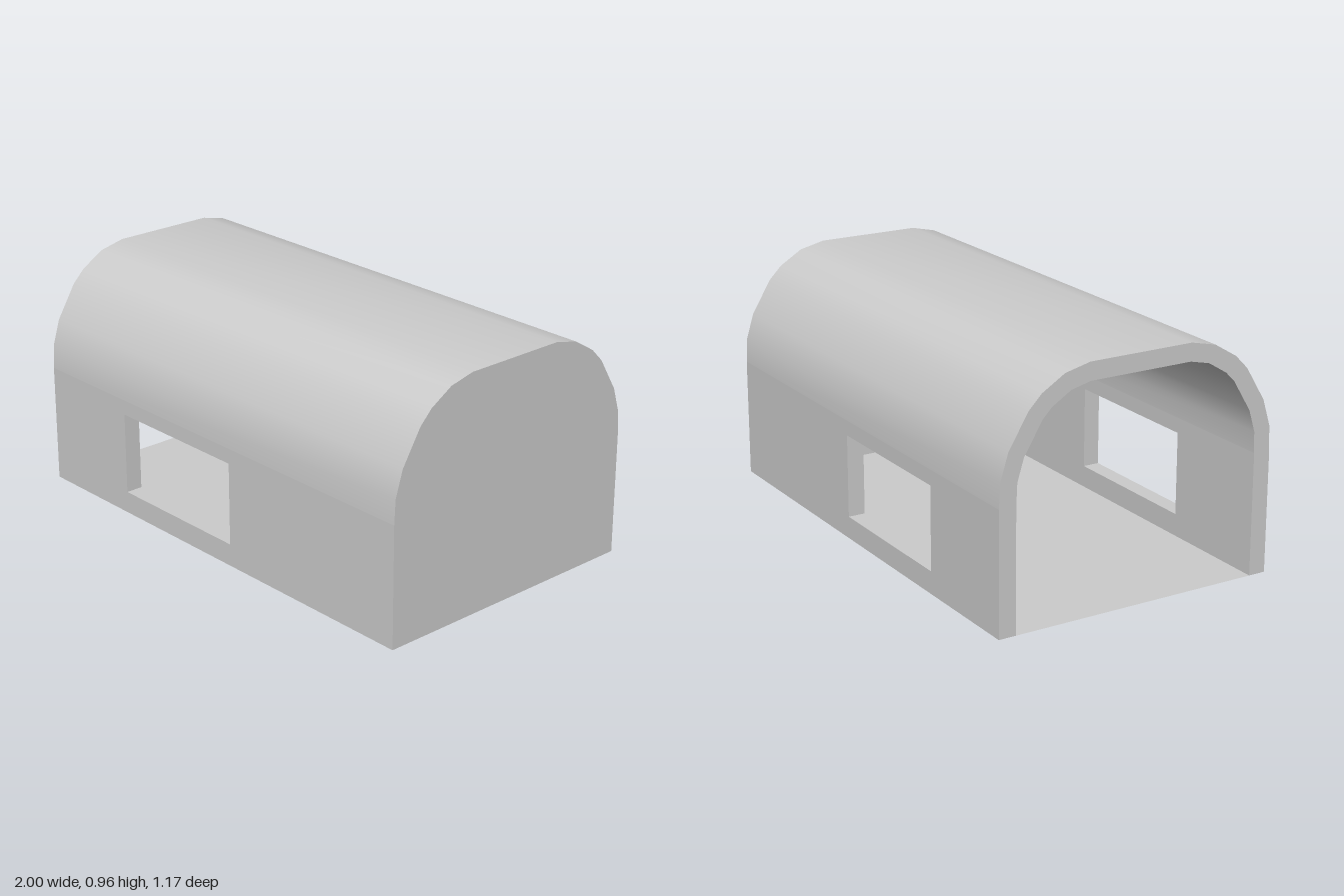
import * as THREE from 'three';
import { toCreasedNormals } from 'three/addons/utils/BufferGeometryUtils.js';

const material = new THREE.MeshStandardMaterial({ color: 0xcccccc, side: THREE.DoubleSide });
const T = 0.07; // wall thickness
const SPRING = 0.486; // height where the vault leaves the walls
const HALF = 0.585; // half depth
const WINDOW = { x0: -0.53, x1: 0.11, y0: 0.09, y1: 0.425 };

// Front half of the vault curve as [z, y], from the crown down to the wall
const CURVE = [
  [0.216, 0.956], [0.32, 0.932], [0.414, 0.875], [0.467, 0.821],
  [0.548, 0.687], [0.58, 0.583], [HALF, SPRING],
];

// Vault points from back to front, moved inward by d
function arch(d) {
  const half = CURVE.map(([z, y], i) => {
    const a = CURVE[i - 1] ?? [-z, y];
    const b = CURVE[i + 1] ?? [z, 0];
    const n = new THREE.Vector2(a[1] - b[1], b[0] - a[0]).normalize();
    if (i === CURVE.length - 1) n.set(1, 0);
    return new THREE.Vector2(z - n.x * d, y - n.y * d);
  });
  return [...half.map((p) => new THREE.Vector2(-p.x, p.y)).reverse(), ...half];
}

// Whole cross-section, walls included, open at the bottom
function section(d) {
  const z = HALF - d;
  return [new THREE.Vector2(-z, 0), ...arch(d), new THREE.Vector2(z, 0)];
}

// Surface that carries [z, y] points along x
function sweep(points, x0, x1) {
  const geo = new THREE.PlaneGeometry(1, 1, 1, points.length - 1);
  const pos = geo.attributes.position;
  points.forEach((p, i) => {
    pos.setXYZ(2 * i, x0, p.y, p.x);
    pos.setXYZ(2 * i + 1, x1, p.y, p.x);
  });
  return toCreasedNormals(geo, 0.35);
}

function rectangle(x0, x1, y0, y1) {
  return [[x0, y0], [x0, y1], [x1, y1], [x1, y0]].map(([x, y]) => new THREE.Vector2(x, y));
}

// Upright wall sheet with a window, facing +z or -z
function wallSheet(x0, x1, z, facing) {
  const { x0: a, x1: b, y0, y1 } = WINDOW;
  const s = facing;
  const shape = new THREE.Shape(rectangle(x0 * s, x1 * s, 0, SPRING));
  shape.holes.push(new THREE.Path(rectangle(a * s, b * s, y0, y1)));
  const geo = new THREE.ShapeGeometry(shape);
  if (facing < 0) geo.rotateY(Math.PI);
  return geo.translate(0, 0, z);
}

// Flat sheet across the section, facing +x or -x
function endSheet(points, x, facing) {
  return new THREE.ShapeGeometry(new THREE.Shape(points))
    .rotateY(facing * Math.PI / 2).translate(x, 0, 0);
}

export function createModel() {
  const model = new THREE.Group();
  model.name = 'vaultedShelter';
  const add = (name, geo) => {
    const mesh = new THREE.Mesh(geo, material);
    mesh.name = name;
    model.add(mesh);
  };

  // Vault, outside and inside
  add('outerVault', sweep(arch(0), -1, 1));
  add('innerVault', sweep(arch(T).reverse(), -1, 1 - T));

  // Front and back walls with their window linings
  for (const [side, s] of [['front', 1], ['back', -1]]) {
    add(side + 'OuterWall', wallSheet(-1, 1, s * HALF, s));
    add(side + 'InnerWall', wallSheet(-1, 1 - T, s * (HALF - T), -s));
    const { x0, x1, y0, y1 } = WINDOW;
    const loop = rectangle(x0, x1, y0, y1);
    loop.push(loop[0]);
    const mid = s * (HALF - T / 2);
    add(side + 'WindowLining',
      sweep(loop.reverse(), -T / 2, T / 2).rotateY(Math.PI / 2).translate(0, 0, mid));
  }

  // Closed end wall and the rim of the open end
  add('outerEndWall', endSheet(section(0), 1, 1));
  add('innerEndWall', endSheet(section(T), 1 - T, -1));
  add('openEndRim', endSheet([...section(0), ...section(T).reverse()], -1, -1));

  // Floor between the walls
  const floor = new THREE.PlaneGeometry(2 - T, 2 * (HALF - T)).rotateX(-Math.PI / 2);
  add('floor', floor.translate(-T / 2, 0, 0));

  return model;
}
